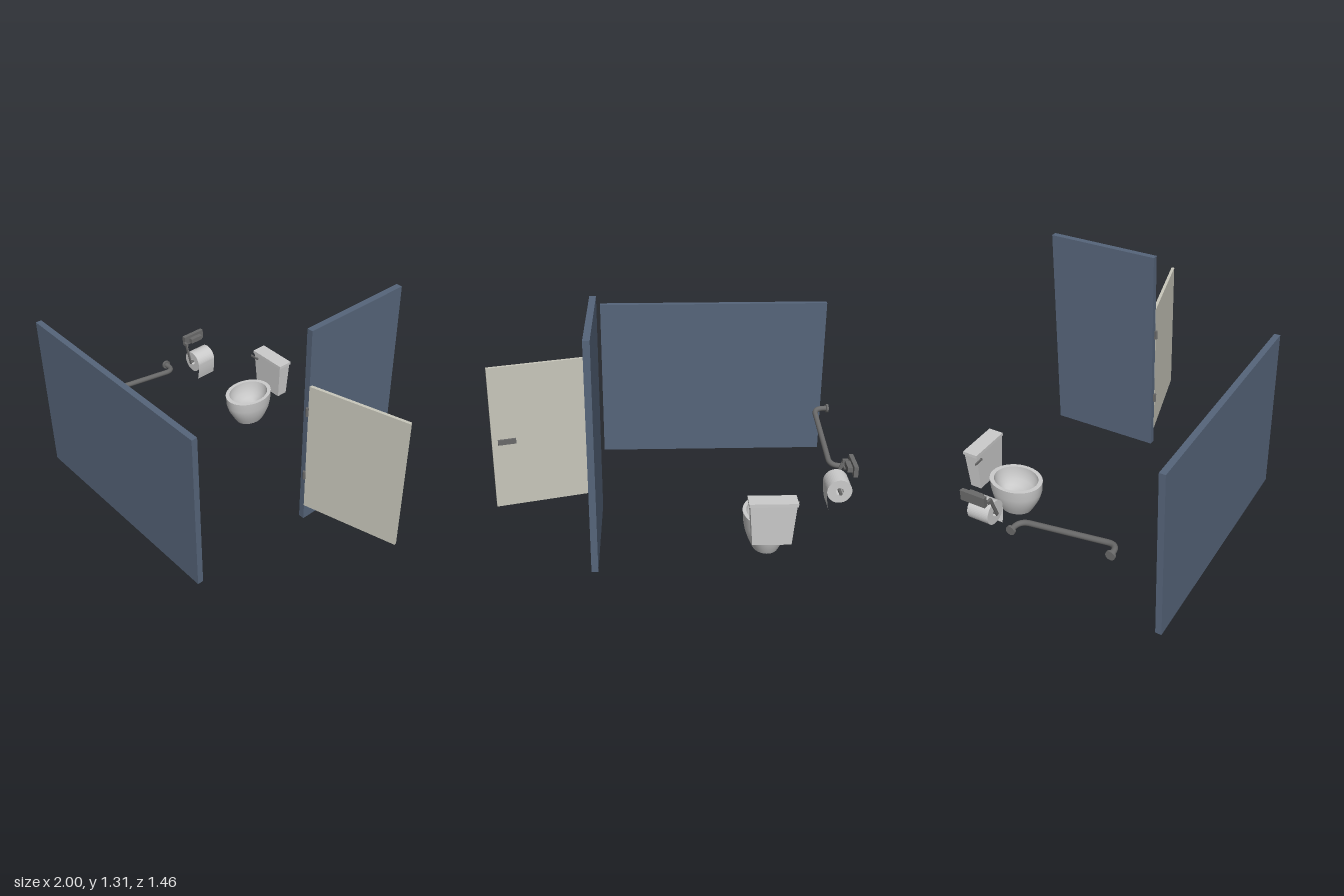
import * as THREE from 'three';

const mat = (color) => new THREE.MeshStandardMaterial({ color, side: THREE.DoubleSide });

export function createModel() {
  const root = new THREE.Group();
  const wallMat = mat(0x56657a), doorMat = mat(0xc8c7bb), metal = mat(0x6a6a6a), grey = mat(0xcccccc);

  const add = (name, geo, material, parent = root) => {
    const m = new THREE.Mesh(geo, material);
    m.name = name;
    parent.add(m);
    return m;
  };
  // Box given by its minimum and maximum corners
  const box = (name, material, x0, x1, y0, y1, z0, z1, parent) => {
    const m = add(name, new THREE.BoxGeometry(x1 - x0, y1 - y0, z1 - z0), material, parent);
    m.position.set((x0 + x1) / 2, (y0 + y1) / 2, (z0 + z1) / 2);
    return m;
  };
  const group = (name, x = 0, y = 0, z = 0) => {
    const g = new THREE.Group();
    g.name = name;
    g.position.set(x, y, z);
    root.add(g);
    return g;
  };
  // Skin through elliptical rings [centreX, y, centreZ, halfX, halfZ]
  const loft = (rings, n = 40) => {
    const pos = [], idx = [];
    rings.forEach(([cx, y, cz, a, b], r) => {
      for (let i = 0; i < n; i++) {
        const t = (i / n) * Math.PI * 2, p = r * n + i, q = r * n + (i + 1) % n;
        pos.push(cx + a * Math.cos(t), y, cz + b * Math.sin(t));
        if (r < rings.length - 1) idx.push(p, p + n, q, q, p + n, q + n);
      }
    });
    const g = new THREE.BufferGeometry();
    g.setAttribute('position', new THREE.Float32BufferAttribute(pos, 3));
    g.setIndex(idx);
    g.computeVertexNormals();
    return g;
  };

  // Partition walls
  box('frontPartition', wallMat, -1, 0.42, 0, 1.01, 0.695, 0.73);
  box('sidePartition', wallMat, 0.402, 0.438, 0.01, 1.31, -0.73, -0.05);

  // Open door, swung on its hinges
  const door = group('door', 0.435, 0, -0.057);
  door.rotation.y = 0.268;
  box('doorPanel', doorMat, 0, 0.583, 0.115, 0.965, -0.009, 0.009, door);
  box('doorLatch', metal, 0.45, 0.55, 0.505, 0.535, -0.021, -0.009, door);
  for (const y of [0.797, 0.348]) {
    box('hingeLeaf', metal, 0.424, 0.44, y - 0.027, y + 0.027, -0.052, -0.046);
    const pin = add('hingePin', new THREE.CylinderGeometry(0.008, 0.008, 0.054, 16), metal);
    pin.position.set(0.434, y, -0.043);
  }

  // Toilet bowl: outside, rim, hollow and drain
  const bowl = group('toiletBowl');
  add('bowlBase', loft([[-0.51, 0, -0.47, 0, 0], [-0.51, 0, -0.47, 0.075, 0.1]]), grey, bowl);
  add('bowlOutside', loft([
    [-0.51, 0, -0.47, 0.075, 0.1], [-0.51, 0.04, -0.468, 0.094, 0.123], [-0.51, 0.09, -0.463, 0.113, 0.146],
    [-0.51, 0.14, -0.459, 0.123, 0.159], [-0.51, 0.206, -0.457, 0.128, 0.163]]), grey, bowl);
  add('bowlRim', loft([[-0.51, 0.206, -0.457, 0.128, 0.163], [-0.51, 0.206, -0.457, 0.107, 0.136]]), grey, bowl);
  add('bowlHollow', loft([
    [-0.51, 0.206, -0.457, 0.107, 0.136], [-0.51, 0.17, -0.458, 0.104, 0.132], [-0.511, 0.13, -0.468, 0.088, 0.112],
    [-0.514, 0.1, -0.49, 0.06, 0.078], [-0.52, 0.075, -0.525, 0.028, 0.036], [-0.521, 0.05, -0.533, 0.022, 0.028],
    [-0.521, 0.045, -0.533, 0, 0]]), grey, bowl);

  // Tapered tank with lid and flush lever
  const tankGeo = new THREE.BoxGeometry(0.245, 0.235, 0.085);
  const tp = tankGeo.attributes.position;
  for (let i = 0; i < tp.count; i++) {
    if (tp.getY(i) < 0) tp.setXYZ(i, tp.getX(i) * 0.85, tp.getY(i), tp.getZ(i) * 0.82);
  }
  tankGeo.computeVertexNormals();
  add('tank', tankGeo, grey).position.set(-0.514, 0.26, -0.667);
  box('tankLid', grey, -0.643, -0.385, 0.377, 0.396, -0.714, -0.621);
  box('flushLever', metal, -0.662, -0.6, 0.343, 0.355, -0.622, -0.615);
  const pivot = add('leverPivot', new THREE.CylinderGeometry(0.008, 0.008, 0.012, 16), metal);
  pivot.rotation.x = Math.PI / 2;
  pivot.position.set(-0.605, 0.349, -0.624);

  // Paper holder: wall plate, bracket, arm and spindle
  const holder = group('paperHolder');
  box('holderPlate', metal, -1, -0.976, 0.405, 0.468, -0.46, -0.307, holder);
  box('holderBracket', metal, -0.976, -0.948, 0.42, 0.45, -0.43, -0.345, holder);
  const arm = box('holderArm', metal, -0.009, 0.009, -0.07, 0.07, -0.303, -0.296, holder);
  arm.position.x = -0.932;
  arm.position.y = 0.365;
  arm.rotation.z = 0.33;
  box('armRoot', metal, -0.976, -0.945, 0.415, 0.435, -0.312, -0.296, holder);
  const spindle = add('spindle', new THREE.CylinderGeometry(0.009, 0.009, 0.175, 20), metal, holder);
  spindle.rotation.x = Math.PI / 2;
  spindle.position.set(-0.912, 0.31, -0.383);

  // Paper roll with a hollow core and a hanging sheet
  const ring = new THREE.Shape().absarc(0, 0, 0.069, 0, Math.PI * 2);
  ring.holes.push(new THREE.Path().absarc(0, 0, 0.022, 0, Math.PI * 2, true));
  const roll = add('paperRoll', new THREE.ExtrudeGeometry(ring, { depth: 0.132, bevelEnabled: false, curveSegments: 24 }), grey);
  roll.position.set(-0.911, 0.31, -0.444);
  const sheet = new THREE.PlaneGeometry(0.132, 0.115, 1, 6).rotateY(Math.PI / 2);
  const sp = sheet.attributes.position;
  for (let i = 0; i < sp.count; i++) {
    const d = 0.5 - sp.getY(i) / 0.115;
    sp.setX(i, -0.014 * d * d);
  }
  sheet.computeVertexNormals();
  add('paperSheet', sheet, grey).position.set(-0.842, 0.256, -0.378);

  // Sloping grab bar with rounded corners and wall flanges
  const ends = [[0.315, -0.155], [0.403, 0.44]];
  const at = (x, t) => new THREE.Vector3(x, THREE.MathUtils.lerp(ends[0][0], ends[1][0], t), THREE.MathUtils.lerp(ends[0][1], ends[1][1], t));
  const path = new THREE.CurvePath();
  path.add(new THREE.LineCurve3(at(-1, 0), at(-0.972, 0)));
  path.add(new THREE.QuadraticBezierCurve3(at(-0.972, 0), at(-0.91, 0), at(-0.91, 0.11)));
  path.add(new THREE.LineCurve3(at(-0.91, 0.11), at(-0.91, 0.89)));
  path.add(new THREE.QuadraticBezierCurve3(at(-0.91, 0.89), at(-0.91, 1), at(-0.972, 1)));
  path.add(new THREE.LineCurve3(at(-0.972, 1), at(-1, 1)));
  add('grabBar', new THREE.TubeGeometry(path, 90, 0.016, 20), metal);
  for (const [y, z] of ends) {
    const flange = add('grabBarFlange', new THREE.CylinderGeometry(0.027, 0.027, 0.014, 28), metal);
    flange.rotation.z = Math.PI / 2;
    flange.position.set(-0.993, y, z);
  }
  return root;
}
